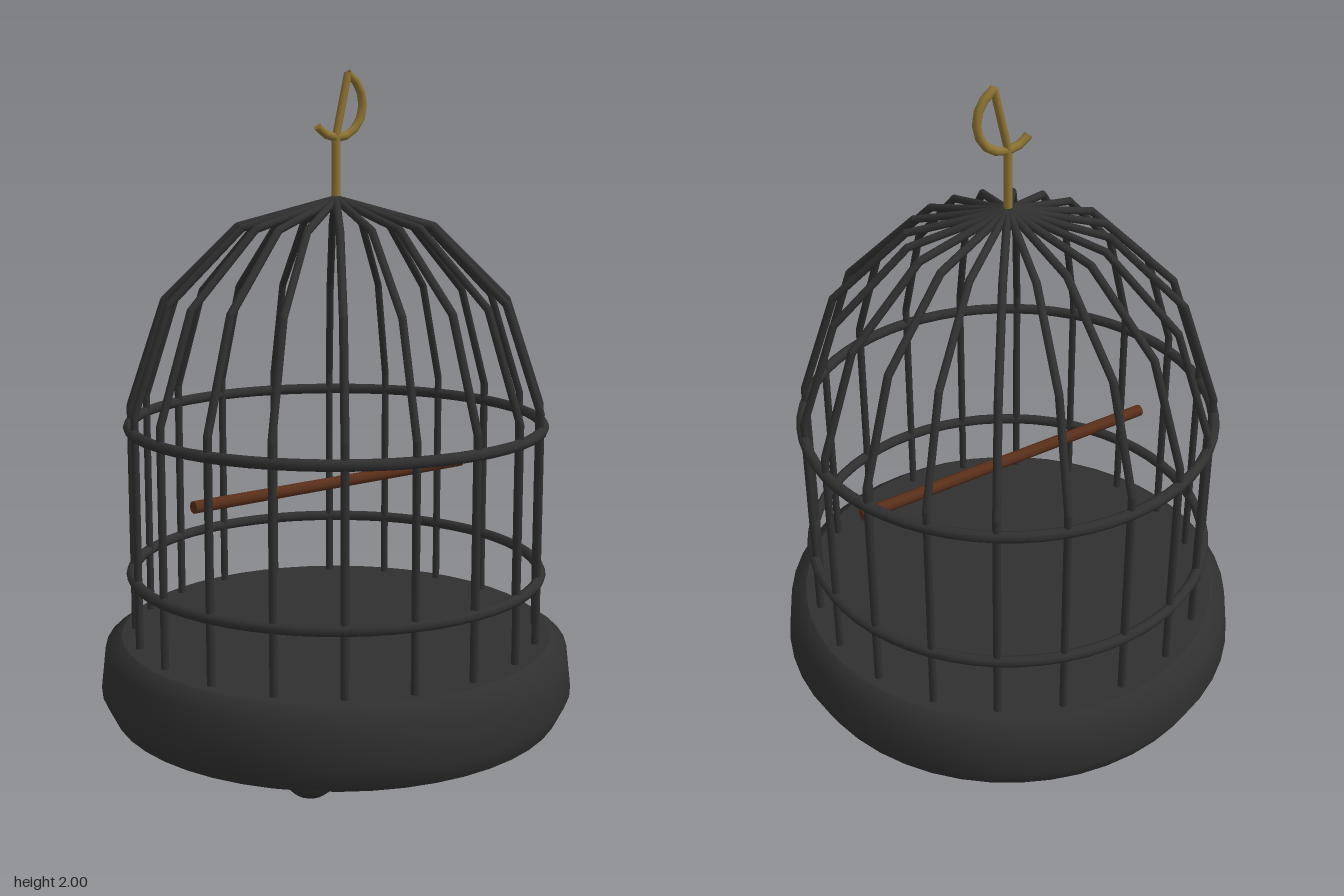
import * as THREE from 'three';

const iron = new THREE.MeshStandardMaterial({ color: 0x303030 });
iron.name = 'darkIron';
const brass = new THREE.MeshStandardMaterial({ color: 0x8f7434 });
brass.name = 'brass';
const wood = new THREE.MeshStandardMaterial({ color: 0x5a2f1a });
wood.name = 'wood';

function add(parent, name, geometry, material, x = 0, y = 0, z = 0) {
  const mesh = new THREE.Mesh(geometry, material);
  mesh.name = name;
  mesh.position.set(x, y, z);
  parent.add(mesh);
  return mesh;
}

// Round rod between two points
function rod(parent, name, a, b, radius, material, sides = 8) {
  const dir = b.clone().sub(a);
  const mesh = add(parent, name, new THREE.CylinderGeometry(radius, radius, dir.length(), sides), material);
  mesh.position.copy(a).add(b).multiplyScalar(0.5);
  mesh.quaternion.setFromUnitVectors(new THREE.Vector3(0, 1, 0), dir.normalize());
  return mesh;
}

const v = (x, y, z = 0) => new THREE.Vector3(x, y, z);

export function createModel() {
  const cage = new THREE.Group();
  cage.name = 'birdcage';

  // Base: rounded side wall with flat floor and underside
  const wall = [[0.695, 0.06], [0.73, 0.13], [0.715, 0.26], [0.665, 0.295]];
  add(cage, 'baseWall', new THREE.LatheGeometry(wall.map(p => new THREE.Vector2(...p)), 48), iron);
  const floor = [[0.665, 0.295], [0, 0.295]];
  add(cage, 'baseFloor', new THREE.LatheGeometry(floor.map(p => new THREE.Vector2(...p)), 48), iron);
  const under = [[0, 0.06], [0.695, 0.06]];
  add(cage, 'baseUnderside', new THREE.LatheGeometry(under.map(p => new THREE.Vector2(...p)), 48), iron);

  // Four squashed ball feet
  for (const x of [-0.42, 0.42]) {
    for (const z of [-0.42, 0.42]) {
      add(cage, 'foot', new THREE.SphereGeometry(0.07, 16, 10), iron, x, 0.055, z).scale.y = 0.78;
    }
  }

  // Twenty bars that rise straight, then bend inward to the crown
  const bend = [v(0.625, 0.28), v(0.625, 1.0), v(0.517, 1.32), v(0.293, 1.54), v(0, 1.62)];
  const path = new THREE.CurvePath();
  for (let i = 0; i < bend.length - 1; i++) path.add(new THREE.LineCurve3(bend[i], bend[i + 1]));
  for (let k = 0; k < 20; k++) {
    const bar = new THREE.Group();
    bar.name = 'bar';
    bar.rotation.y = (k * Math.PI) / 10;
    path.curves.forEach((c, i) => {
      rod(bar, 'barSegment', c.v1, c.v2, 0.012, iron);
      if (i < 3) add(bar, 'barJoint', new THREE.SphereGeometry(0.012, 8, 6), iron, c.v2.x, c.v2.y, 0);
    });
    cage.add(bar);
  }

  // Two hoops
  for (const y of [0.49, 0.945]) {
    add(cage, 'hoop', new THREE.TorusGeometry(0.629, 0.017, 8, 60), iron, 0, y, 0).rotation.x = Math.PI / 2;
  }

  // Perch
  rod(cage, 'perch', v(-0.52, 0.755), v(0.52, 0.755), 0.019, wood, 8);

  // Hanging hook: stem, slanted strut and open arc
  const hook = new THREE.Group();
  hook.name = 'hook';
  cage.add(hook);
  rod(hook, 'hookStem', v(0, 1.61), v(0, 1.81), 0.013, brass);
  rod(hook, 'hookStrut', v(0, 1.805), v(0.045, 1.988), 0.012, brass);
  const start = THREE.MathUtils.degToRad(-137);
  const sweep = THREE.MathUtils.degToRad(202);
  add(hook, 'hookArc', new THREE.TorusGeometry(0.098, 0.013, 8, 9, sweep), brass, 0.003, 1.898, 0).rotation.z = start;
  for (const a of [start, start + sweep]) {
    const tip = add(hook, 'hookTip', new THREE.CircleGeometry(0.013, 8), brass,
      0.003 + 0.098 * Math.cos(a), 1.898 + 0.098 * Math.sin(a), 0);
    const sign = a === start ? -1 : 1;
    tip.lookAt(tip.position.clone().add(v(-Math.sin(a) * sign, Math.cos(a) * sign)));
  }

  return cage;
}
